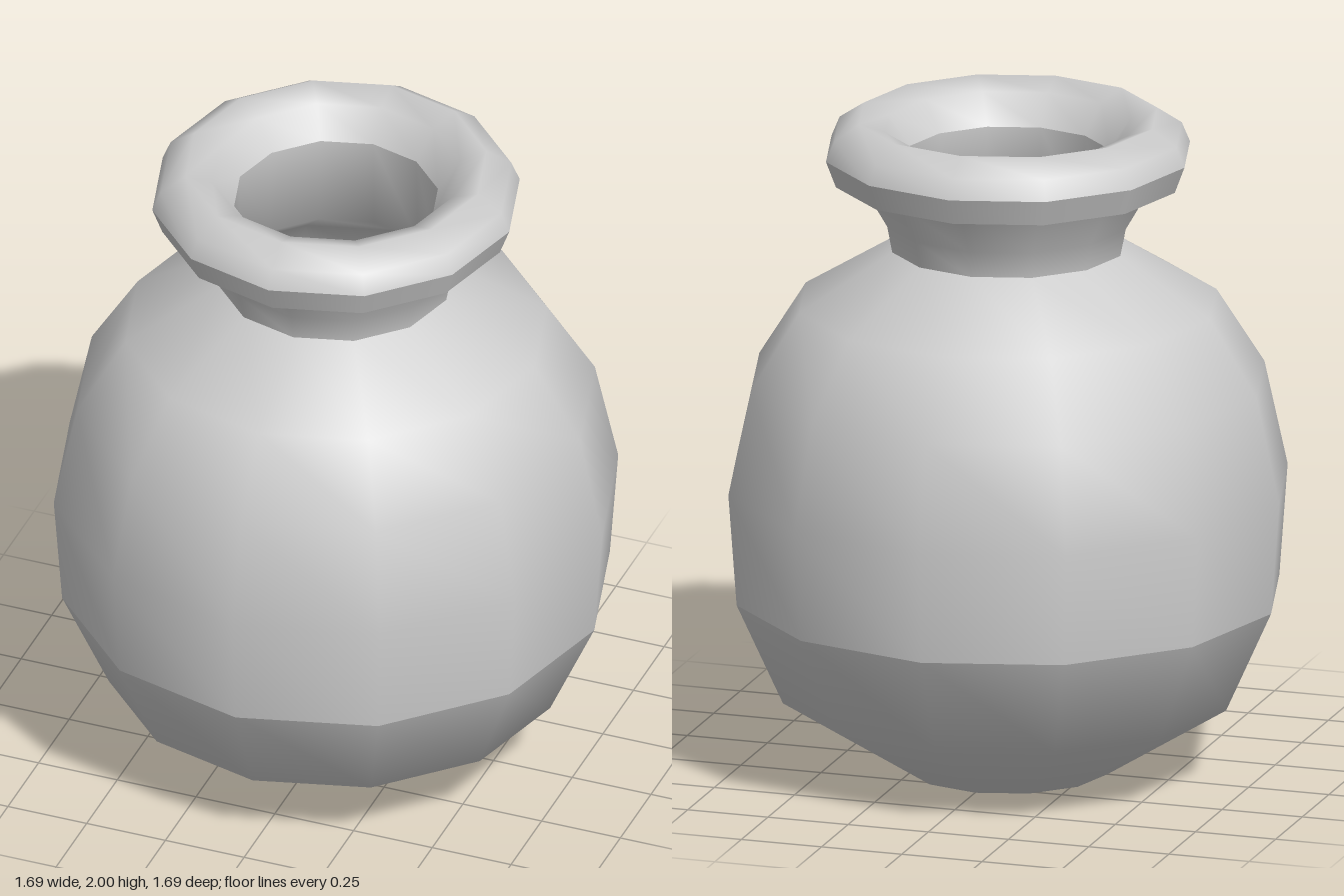
import * as THREE from 'three';

const SIDES = 12;

export function createModel() {
  const model = new THREE.Group();
  const material = new THREE.MeshStandardMaterial({ color: 0xcccccc, side: THREE.DoubleSide });

  // Each band is its own smooth lathe, so the joins between bands stay sharp
  const addBand = (name, profile) => {
    const points = profile.map(([r, y]) => new THREE.Vector2(r, y));
    const mesh = new THREE.Mesh(new THREE.LatheGeometry(points, SIDES), material);
    mesh.name = name;
    model.add(mesh);
  };

  // Outside, from the foot up to the rim
  addBand('base', [[0, 0], [0.31, 0]]);
  addBand('lowerBelly', [[0.31, 0], [0.68, 0.23], [0.82, 0.54]]);
  addBand('upperBelly', [[0.82, 0.54], [0.845, 0.88], [0.775, 1.2], [0.63, 1.43], [0.35, 1.6]]);
  addBand('neck', [[0.35, 1.6], [0.365, 1.68], [0.44, 1.81]]);
  addBand('rimUnderside', [[0.44, 1.81], [0.52, 1.81]]);
  addBand('rimLowerEdge', [[0.52, 1.81], [0.55, 1.89]]);

  // Rounded rim rolling over into the mouth
  addBand('rimTop', [[0.55, 1.89], [0.525, 1.95], [0.45, 2], [0.37, 1.97], [0.305, 1.88]]);

  // Hollow inside, from the mouth down to the floor
  addBand('innerWall', [
    [0.305, 1.88], [0.31, 1.6], [0.58, 1.4], [0.73, 1.18], [0.79, 0.88],
    [0.77, 0.56], [0.64, 0.27], [0.3, 0.06], [0, 0.05],
  ]);

  return model;
}
